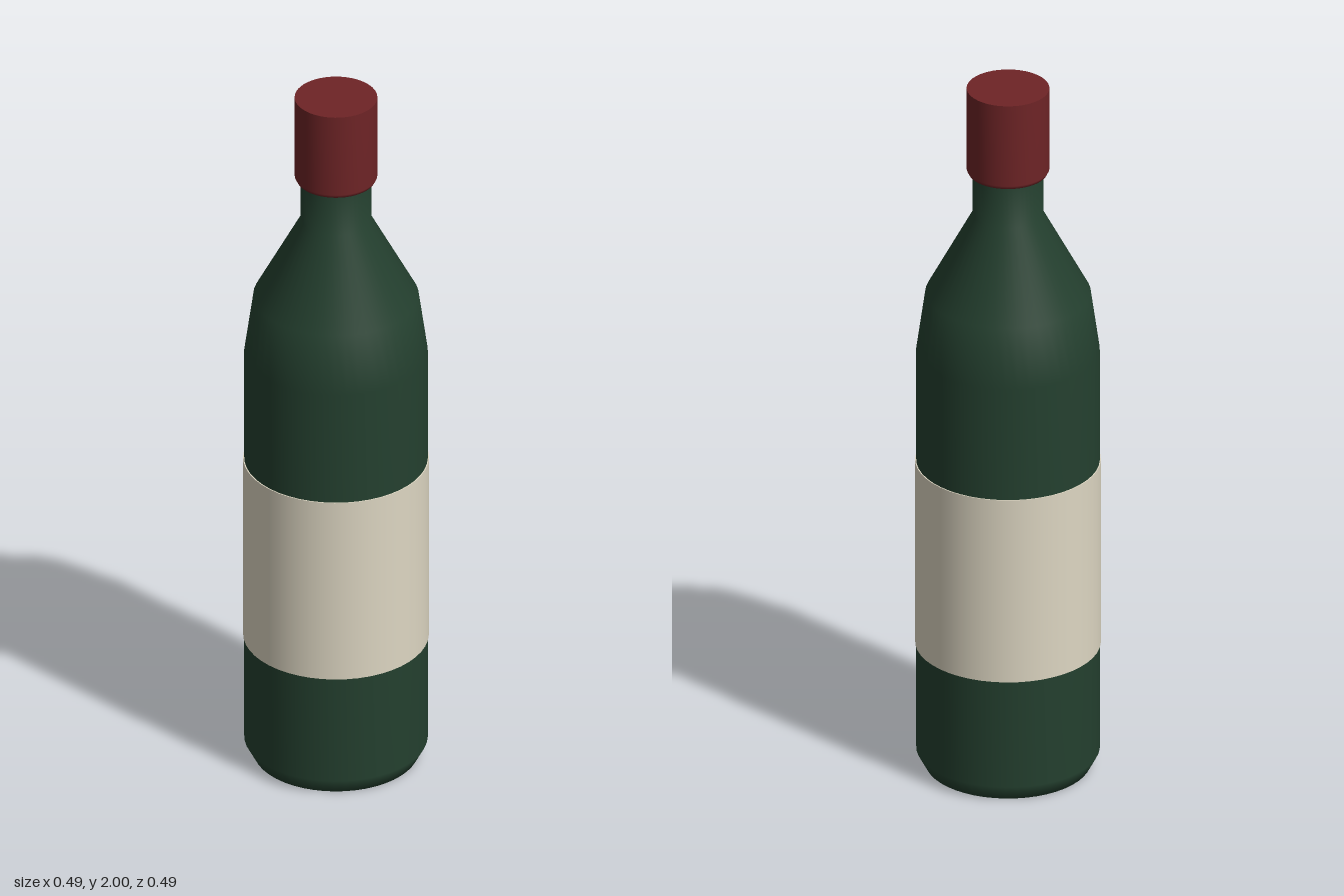
import * as THREE from 'three';

const SEGMENTS = 48;

// Revolves a bottom-to-top [radius, height] profile around the y axis
function turned(name, profile, material) {
  const points = profile.map(([r, y]) => new THREE.Vector2(r, y));
  const mesh = new THREE.Mesh(new THREE.LatheGeometry(points, SEGMENTS), material);
  mesh.name = name;
  return mesh;
}

export function createModel() {
  const glass = new THREE.MeshStandardMaterial({ color: 0x24402f });
  glass.name = 'green glass';
  const foil = new THREE.MeshStandardMaterial({ color: 0x6e2426 });
  foil.name = 'red foil';
  const paper = new THREE.MeshStandardMaterial({ color: 0xddd6c2 });
  paper.name = 'cream paper';

  const bottle = new THREE.Group();
  bottle.name = 'bottle';

  // Glass body with bevelled foot, sloping shoulders and straight neck
  bottle.add(turned('body', [
    [0, 0], [0.22, 0], [0.244, 0.045], [0.244, 1.225],
    [0.22, 1.395], [0.094, 1.63], [0.094, 1.78],
  ], glass));

  // Foil capsule, closed above and below around the neck
  bottle.add(turned('capsule', [
    [0.09, 1.752], [0.105, 1.752], [0.11, 1.762], [0.11, 2], [0.11, 2], [0, 2],
  ], foil));

  // Paper label wrapped right round the body, with thin edges
  bottle.add(turned('label', [
    [0.243, 0.358], [0.247, 0.358], [0.247, 0.358],
    [0.247, 0.898], [0.247, 0.898], [0.243, 0.898],
  ], paper));

  return bottle;
}
